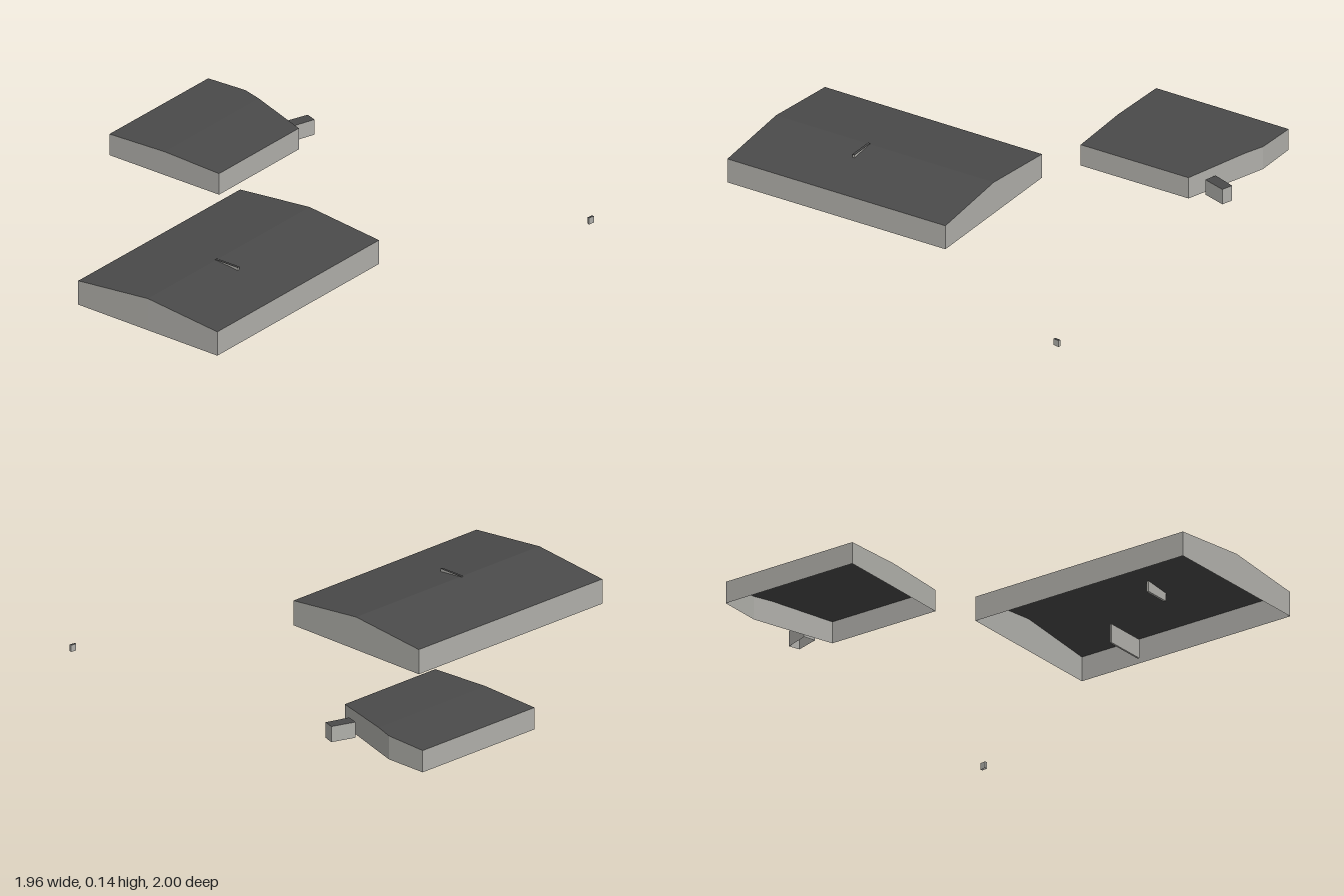
import * as THREE from 'three';

const wallMat = new THREE.MeshStandardMaterial({ name: 'pale grey wall', color: 0xb0afaa, side: THREE.DoubleSide });
const roofMat = new THREE.MeshStandardMaterial({ name: 'dark grey roof', color: 0x4a4a4a, side: THREE.DoubleSide });

// Mesh made of flat convex faces, each a loop of [x, y, z] corners
function faces(name, loops, material) {
  const pos = [];
  for (const p of loops) {
    for (let i = 1; i < p.length - 1; i++) pos.push(...p[0], ...p[i], ...p[i + 1]);
  }
  const g = new THREE.BufferGeometry();
  g.setAttribute('position', new THREE.Float32BufferAttribute(pos, 3));
  g.computeVertexNormals();
  const mesh = new THREE.Mesh(g, material);
  mesh.name = name;
  return mesh;
}

// Hollow building without a floor: ring of [x, z, eave height] corners,
// with an optional ridge joining two corners of the ring
function building(name, ring, ridge) {
  const group = new THREE.Group();
  group.name = name;
  const top = ring.map(([x, z, h]) => [x, h, z]);
  const walls = top.map((a, i) => {
    const b = top[(i + 1) % top.length];
    return [[a[0], 0, a[2]], [b[0], 0, b[2]], b, a];
  });
  let slopes = [top];
  if (ridge) {
    const [i, j] = ridge;
    slopes = [top.slice(i, j + 1), [...top.slice(j), ...top.slice(0, i + 1)]];
  }
  group.add(faces(name + 'Walls', walls, wallMat), faces(name + 'Roof', slopes, roofMat));
  return group;
}

// Thin plate running across the main hall
function plate(name, width, height, depth, x, y, z, material) {
  const mesh = new THREE.Mesh(new THREE.BoxGeometry(width, height, depth), material);
  mesh.position.set(x, y, z);
  mesh.rotation.y = -0.265;
  mesh.name = name;
  return mesh;
}

export function createModel() {
  const model = new THREE.Group();
  model.name = 'buildings';

  // Large hall with a shallow gabled roof
  model.add(building('mainHall', [
    [-0.314, -0.155, 0.104], [-0.575, 0.817, 0.104], [-0.238, 0.909, 0.138],
    [0.098, 1.0, 0.104], [0.356, 0.025, 0.104], [0.021, -0.065, 0.138],
  ], [2, 5]));

  // Smaller hall with one corner cut off
  model.add(building('smallHall', [
    [-0.823, -1.0, 0.092], [-0.982, -0.407, 0.092], [-0.718, -0.337, 0.102],
    [-0.454, -0.268, 0.092], [-0.327, -0.75, 0.092], [-0.568, -0.905, 0.102],
    [-0.644, -0.953, 0.099],
  ], [2, 5]));

  // Porch beside the cut corner
  model.add(building('porch', [
    [-0.363, -0.917, 0.066], [-0.422, -0.83, 0.066], [-0.377, -0.803, 0.066], [-0.322, -0.89, 0.066],
  ]));

  // Tiny detached hut
  model.add(building('hut', [
    [0.969, -0.642, 0.028], [0.96, -0.62, 0.028], [0.968, -0.614, 0.028], [0.978, -0.638, 0.028],
  ]));

  // Beam breaking through the roof and a partition inside the hall
  model.add(plate('roofBeam', 0.114, 0.045, 0.01, -0.077, 0.116, 0.508, wallMat));
  model.add(plate('roofBeamCap', 0.114, 0.002, 0.01, -0.077, 0.1395, 0.508, roofMat));
  model.add(plate('partition', 0.18, 0.08, 0.008, 0.154, 0.04, 0.284, wallMat));

  return model;
}
